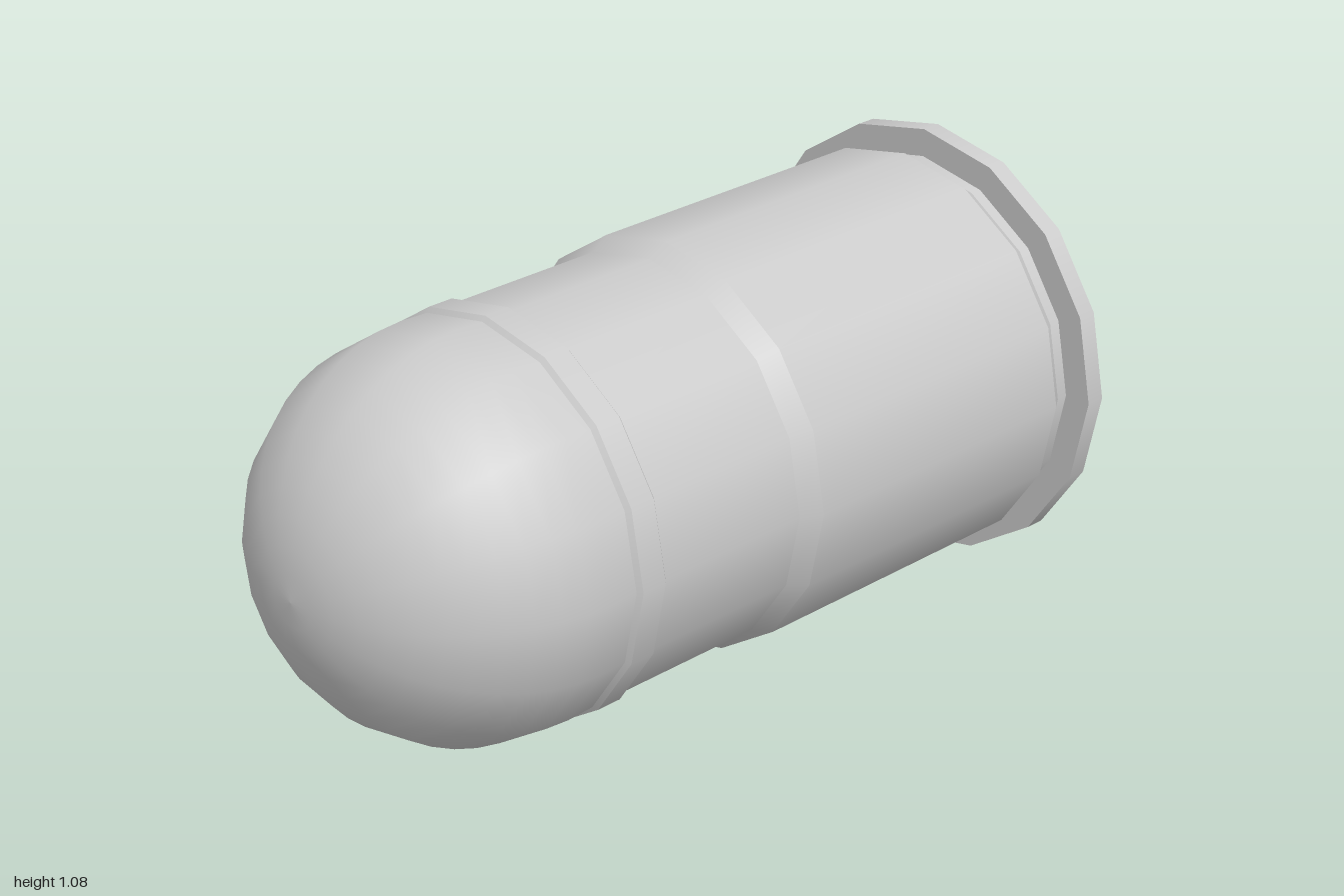
import * as THREE from 'three';

const SIDES = 16;
const CENTRE_Y = 0.54;

export function createModel() {
  const model = new THREE.Group();
  const material = new THREE.MeshStandardMaterial({ color: 0xcccccc });

  // Turns a profile of [radius, z] points, back to front, around the z axis
  function turned(profile, parent, name) {
    const points = profile.map(([r, z]) => new THREE.Vector2(r, z));
    const geometry = new THREE.LatheGeometry(points, SIDES).rotateX(Math.PI / 2);
    const mesh = new THREE.Mesh(geometry, material);
    mesh.name = name;
    mesh.position.y = CENTRE_Y;
    parent.add(mesh);
  }

  // One strip per profile segment, so edges between strips stay sharp
  function turnedSharp(name, profile) {
    const group = new THREE.Group();
    group.name = name;
    for (let i = 1; i < profile.length; i++) {
      turned([profile[i - 1], profile[i]], group, `${name}Strip${i}`);
    }
    model.add(group);
  }

  // Flat base with its wide rim
  turnedSharp('baseRim', [[0, -1], [0.54, -1], [0.54, -0.95], [0.472, -0.95]]);

  // Extraction groove, casing wall and sloped shoulder
  turnedSharp('casing', [
    [0.472, -0.95], [0.472, -0.92], [0.496, -0.885],
    [0.496, -0.09], [0.47, -0.04],
  ]);

  // Projectile body and its raised, chamfered band
  turnedSharp('projectileBody', [[0.47, -0.04], [0.47, 0.45]]);
  turnedSharp('drivingBand', [
    [0.47, 0.37], [0.481, 0.38], [0.481, 0.445], [0.47, 0.455],
  ]);

  // Smooth rounded nose
  const nose = [[0.47, 0.45]];
  const steps = 12;
  for (let i = 0; i <= steps; i++) {
    const a = (i / steps) * Math.PI / 2;
    nose.push([i === steps ? 0 : 0.473 * Math.cos(a), 0.527 + 0.473 * Math.sin(a)]);
  }
  turned(nose, model, 'nose');

  return model;
}
